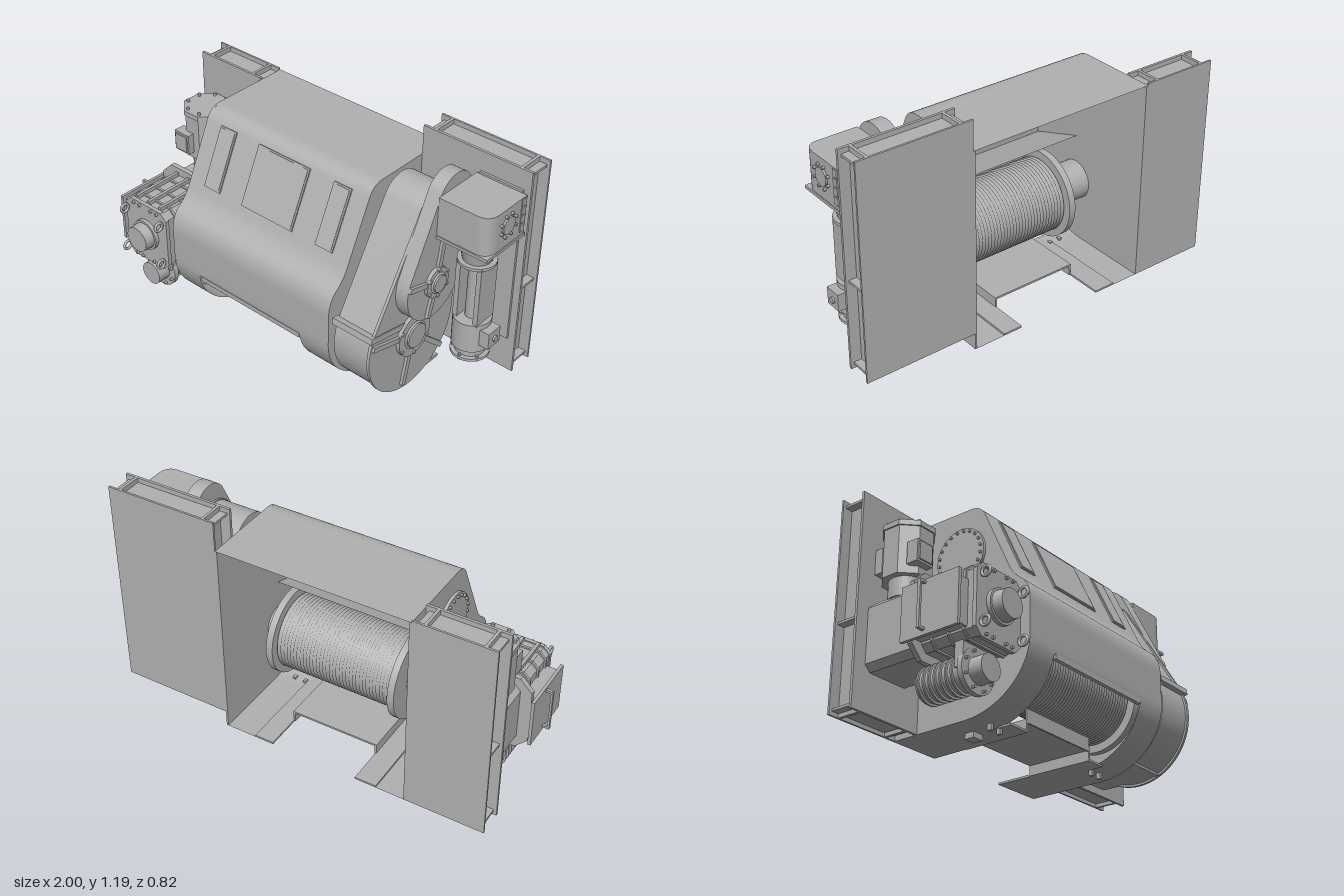
import * as THREE from 'three';
import { toCreasedNormals } from 'three/addons/utils/BufferGeometryUtils.js';

export function createModel() {
  const root = new THREE.Group();
  root.name = 'winch';
  const steel = new THREE.MeshStandardMaterial({ color: 0xb0b0b0, side: THREE.DoubleSide });
  steel.name = 'grey steel';

  // ---- helpers ----
  const add = (name, geo, x = 0, y = 0, z = 0) => {
    const m = new THREE.Mesh(geo, steel);
    m.name = name;
    m.position.set(x, y, z);
    root.add(m);
    return m;
  };
  // box given by its limits on each axis
  const box = (name, x0, x1, y0, y1, z0, z1) =>
    add(name, new THREE.BoxGeometry(x1 - x0, y1 - y0, z1 - z0), (x0 + x1) / 2, (y0 + y1) / 2, (z0 + z1) / 2);
  // turn geometry built along y so that it lies along another axis
  const along = (geo, axis) => axis === 'x' ? geo.rotateZ(-Math.PI / 2) : axis === 'z' ? geo.rotateX(Math.PI / 2) : geo;
  const cyl = (name, axis, len, r, x, y, z, rEnd = r, sides = 32) =>
    add(name, along(new THREE.CylinderGeometry(rEnd, r, len, sides), axis), x, y, z);
  const bolts = (name, axis, n, ring, r, len, x, y, z) => {
    for (let i = 0; i < n; i++) {
      const a = ((i + 0.5) / n) * Math.PI * 2, u = Math.cos(a) * ring, v = Math.sin(a) * ring;
      const p = axis === 'x' ? [x, y + v, z + u] : axis === 'y' ? [x + u, y, z + v] : [x + u, y + v, z];
      cyl(name, axis, len, r, ...p, r, 6);
    }
  };
  // extrude a (z, y) outline between two x positions
  const slab = (name, shape, x0, x1) => {
    const g = new THREE.ExtrudeGeometry(shape, { depth: x1 - x0, bevelEnabled: false, curveSegments: 28 });
    return add(name, toCreasedNormals(g.rotateY(-Math.PI / 2), 0.5), x1);
  };
  // outline wrapped around two circles
  const hull = (ax, ay, ar, bx, by, br) => {
    const a = Math.atan2(by - ay, bx - ax), b = Math.acos((ar - br) / Math.hypot(bx - ax, by - ay));
    return new THREE.Shape().absarc(ax, ay, ar, a + b, a - b + Math.PI * 2, false).absarc(bx, by, br, a - b, a + b, false);
  };
  // curved sheet across x following (z, y) points
  const sheet = (name, pts, x0, x1) => {
    const g = new THREE.PlaneGeometry(x1 - x0, 1, 1, pts.length - 1), p = g.attributes.position;
    for (let i = 0; i < p.count; i++) {
      const q = pts[i >> 1];
      p.setXYZ(i, i % 2 ? x1 : x0, q.y, q.x);
    }
    g.computeVertexNormals();
    return add(name, g);
  };

  // ---- housing ----
  const X0 = -0.55, X1 = 0.42, SZ = 0.05, SY = 0.36;
  const profile = new THREE.Shape();
  profile.moveTo(-0.41, 1.05).lineTo(0, 1.05).quadraticCurveTo(0.06, 1.05, 0.085, 1.0).lineTo(0.225, 0.7)
    .quadraticCurveTo(0.25, 0.645, 0.3, 0.61).quadraticCurveTo(0.345, 0.57, 0.345, 0.49).lineTo(0.345, 0.34)
    .bezierCurveTo(0.345, 0.18, 0.2, 0.04, 0, 0.035).lineTo(-0.41, 0.035);
  const pts = profile.getSpacedPoints(140);
  const cut = pts.findIndex(p => p.y < 0.31);
  sheet('housingShell', pts.slice(0, cut + 1), X0, X1);
  sheet('lowerGuard', pts.slice(cut), X0, -0.39);
  sheet('lowerGuard', pts.slice(cut), 0.25, X1);
  slab('housingEndPlate', profile, X0 - 0.005, X0 + 0.005);
  slab('housingEndPlate', profile, X1 - 0.005, X1 + 0.005);
  box('openingBar', -0.38, 0.25, 0.285, 0.31, 0.325, 0.345);
  box('floorStrip', -0.4, -0.29, 0.035, 0.045, -0.41, 0.12);
  box('floorStrip', 0.16, 0.26, 0.035, 0.045, -0.41, 0.12);
  box('ropeTray', -0.29, 0.16, 0.085, 0.095, -0.22, 0.12);
  box('trayLip', -0.29, 0.16, 0.08, 0.145, 0.11, 0.12);
  for (const x of [-0.29, 0.16]) box('trayWall', x - 0.005, x + 0.005, 0.035, 0.095, -0.22, 0.12);
  for (const x of [-0.45, -0.39, 0.27, 0.33]) box('footPeg', x - 0.008, x + 0.008, 0.01, 0.05, 0.04, 0.06);
  box('footBracket', -0.44, -0.38, 0.008, 0.035, -0.1, -0.05);
  sheet('innerBaffle', [new THREE.Vector2(0.34, 0.5), new THREE.Vector2(0.05, 0.6)], X0, X1);

  // raised hatches on the sloping front
  const tilt = -Math.atan2(0.14, 0.3);
  for (const [a, b] of [[-0.46, -0.36], [-0.22, 0.09], [0.23, 0.33]]) {
    const frame = add('hatchFrame', new THREE.BoxGeometry(b - a, 0.3, 0.012), (a + b) / 2, 0.862, 0.15);
    const panel = add('hatchPanel', new THREE.BoxGeometry(b - a - 0.016, 0.284, 0.008), (a + b) / 2, 0.864, 0.154);
    frame.rotation.x = panel.rotation.x = tilt;
  }
  // inspection cover on the end wall
  cyl('inspectionCover', 'x', 0.02, 0.135, X0 - 0.01, 0.82, -0.04);
  bolts('inspectionBolt', 'x', 20, 0.12, 0.007, 0.012, X0 - 0.024, 0.82, -0.04);

  // ---- drum with rope grooves ----
  const rope = [];
  for (let i = 0; i <= 70; i++) rope.push(new THREE.Vector2(i % 2 ? 0.19 : 0.178, -0.32 + i * 0.009));
  add('ropeDrum', along(new THREE.LatheGeometry(rope, 40), 'x'), 0, SY, SZ);
  for (const x of [-0.335, 0.325]) cyl('drumFlange', 'x', 0.035, 0.225, x, SY, SZ, 0.225, 48);
  cyl('drumShaft', 'x', 0.98, 0.1, -0.06, SY, SZ);

  // ---- mounting frames behind each side ----
  const mount = (x0, x1, y0, y1) => {
    box('mountBackPlate', x0, x1, y0, y1, -0.41, -0.4);
    box('mountFrontPlate', x0, x1, y0, y1, -0.285, -0.272);
    for (const x of [x0 + 0.06, x1 - 0.06]) box('mountWeb', x - 0.007, x + 0.007, y0, y1, -0.4, -0.285);
    for (const y of [y0 + 0.025, (y0 + y1) / 2 - 0.09, y1 - 0.03])
      box('mountRib', x0 + 0.015, x1 - 0.015, y - 0.006, y + 0.006, -0.4, -0.285);
  };
  mount(-0.95, -0.555, 0.035, 1.06);
  mount(0.425, 0.995, 0.12, 1.197);

  // ---- gear case ----
  cyl('caseCollar', 'x', 0.04, 0.16, 0.435, SY, SZ);
  slab('gearCase', hull(SZ, SY, 0.285, -0.1, 0.925, 0.13), 0.45, 0.65);
  slab('gearCaseRim', hull(SZ, SY, 0.295, -0.1, 0.925, 0.135), 0.645, 0.66);
  slab('upperGearCase', hull(-0.01, 0.65, 0.19, -0.12, 1.04, 0.115), 0.655, 0.725);
  box('caseSplitFlange', 0.44, 0.665, 0.445, 0.475, 0.1, 0.34).rotation.x = -0.2;
  box('caseFoot', 0.44, 0.66, 0.09, 0.105, -0.16, 0.17);
  // hubs with radial ribs
  const hub = (name, x, y, z, r, ribs) => {
    cyl(name + 'Plate', 'x', 0.02, r, x + 0.008, y, z);
    cyl(name + 'Cap', 'x', 0.035, r * 0.55, x + 0.015, y, z);
    add(name + 'Ring', new THREE.TorusGeometry(r * 0.6, 0.006, 8, 32).rotateY(Math.PI / 2), x + 0.02, y, z);
    bolts(name + 'Bolt', 'x', 6, r * 0.92, 0.009, 0.02, x + 0.015, y, z);
    for (const [a, len] of ribs) {
      const rib = add(name + 'Rib', new THREE.BoxGeometry(0.02, 0.025, len), x + 0.004,
        y + Math.sin(a) * len / 2, z + Math.cos(a) * len / 2);
      rib.rotation.x = -a;
    }
  };
  hub('mainHub', 0.66, SY, SZ, 0.11, [[0.27, 0.29], [-1.35, 0.27], [-2.4, 0.29]]);
  hub('upperHub', 0.725, 0.65, -0.01, 0.075, [[0.27, 0.19], [-1.3, 0.18], [1.75, 0.22]]);

  // ---- vertical drive beside the gear case ----
  const DX = 0.85, DZ = -0.135;
  box('driveBackPlate', 0.74, 0.96, 0.3, 1.1, -0.272, -0.26);
  // head with rounded front corner
  const head = new THREE.Shape();
  head.moveTo(0.725, 0.262).lineTo(0.725, 0.0).lineTo(0.92, 0.0).quadraticCurveTo(0.985, 0.0, 0.985, 0.07).lineTo(0.985, 0.262);
  const headGeo = new THREE.ExtrudeGeometry(head, { depth: 0.19, bevelEnabled: false, curveSegments: 10 });
  headGeo.rotateX(-Math.PI / 2);
  add('driveHead', toCreasedNormals(headGeo, 0.5), 0, 0.9, 0);
  box('headFlange', 0.72, 0.99, 0.885, 0.9, -0.265, 0.005);
  cyl('headCover', 'x', 0.012, 0.042, 0.988, 1.005, DZ);
  bolts('headBolt', 'x', 8, 0.055, 0.007, 0.014, 0.99, 1.005, DZ);
  for (let i = 0; i < 4; i++) box('headLug', 0.93, 0.99, 0.92 + i * 0.043, 0.955 + i * 0.043, -0.255, -0.225);
  cyl('driveCone', 'y', 0.115, 0.065, DX, 0.825, DZ, 0.092);
  bolts('coneBolt', 'y', 10, 0.105, 0.007, 0.02, DX, 0.88, DZ);
  cyl('coneFlange', 'y', 0.014, 0.088, DX, 0.765, DZ);
  for (const s of [-1, 1]) box('lanternPost', DX + s * 0.055 - 0.012, DX + s * 0.055 + 0.012, 0.45, 0.765, DZ - 0.06, DZ + 0.06);
  box('lanternBack', DX - 0.05, DX + 0.05, 0.45, 0.765, DZ - 0.06, DZ - 0.03);
  cyl('driveShaft', 'y', 0.32, 0.035, DX, 0.605, DZ);
  cyl('driveMotor', 'y', 0.15, 0.088, DX, 0.385, DZ);
  cyl('motorNeck', 'y', 0.05, 0.07, DX, 0.295, DZ);
  cyl('motorEndFlange', 'y', 0.014, 0.09, DX, 0.265, DZ);
  bolts('motorEndBolt', 'y', 6, 0.078, 0.007, 0.03, DX, 0.265, DZ);
  box('motorTerminalBox', 0.92, 0.975, 0.35, 0.435, -0.175, -0.09);
  cyl('terminalCap', 'x', 0.012, 0.015, 0.978, 0.39, DZ);
  box('motorBracket', 0.83, 0.87, 0.34, 0.37, -0.272, -0.2);

  // ---- gearbox on the other side ----
  const GX = -0.75, GY = 0.38;
  // octagonal prism lying along z
  const octagon = (name, hw, hh, c, z0, z1) => {
    const s = new THREE.Shape();
    [[hw, hh - c], [hw - c, hh], [c - hw, hh], [-hw, hh - c], [-hw, c - hh], [c - hw, -hh], [hw - c, -hh], [hw, c - hh]]
      .forEach(([x, y], i) => i ? s.lineTo(x, y) : s.moveTo(x, y));
    add(name, new THREE.ExtrudeGeometry(s, { depth: z1 - z0, bevelEnabled: false }), GX, GY, z0);
  };
  octagon('gearboxFlange', 0.19, 0.2, 0.06, 0.02, 0.045);
  octagon('gearboxBody', 0.135, 0.16, 0.03, -0.272, 0.32);
  octagon('gearboxCover', 0.14, 0.165, 0.035, 0.32, 0.34);
  for (const z of [0.1, 0.19, 0.27]) octagon('gearboxRib', 0.143, 0.168, 0.035, z, z + 0.012);
  for (const x of [-0.83, -0.75, -0.67]) box('gearboxTopRib', x - 0.008, x + 0.008, 0.53, 0.56, 0.05, 0.32);
  for (const sx of [-1, 1]) for (const sy of [-1, 1]) {
    add('liftingEye', new THREE.TorusGeometry(0.022, 0.007, 8, 20).rotateY(Math.PI / 2), GX + sx * 0.12, GY + sy * 0.11, 0.37);
    for (const d of [0.04, 0.08]) cyl('coverBolt', 'z', 0.015, 0.008, GX + sx * d, GY + sy * 0.15, 0.345, 0.008, 6);
  }
  cyl('bearingRing', 'z', 0.03, 0.08, GX, GY, 0.345);
  cyl('bearingCap', 'z', 0.06, 0.07, GX, GY, 0.38, 0.066);
  cyl('outputCoupling', 'x', 0.08, 0.14, -0.585, SY, SZ);
  for (const z of [-0.2, -0.12]) box('sideLug', -0.62, -0.555, 0.4, 0.52, z - 0.01, z + 0.01);

  // lower finned pump
  const PX = -0.77, PY = 0.115;
  cyl('pumpFlange', 'z', 0.025, 0.1, PX, PY, 0.24);
  box('pumpLink', PX - 0.09, PX + 0.09, PY, 0.25, 0.205, 0.25);
  cyl('pumpBody', 'z', 0.26, 0.075, PX, PY, 0.11);
  for (let i = 0; i < 7; i++) cyl('pumpFin', 'z', 0.008, 0.085, PX, PY, 0 + i * 0.03);
  cyl('pumpCap', 'z', 0.07, 0.06, PX, PY, 0.285);
  bolts('pumpBolt', 'z', 8, 0.085, 0.007, 0.02, PX, PY, 0.258);

  // control cabinet with handle
  box('cabinet', -0.95, -0.88, 0.26, 0.47, 0.02, 0.29);
  box('cabinetDoor', -0.965, -0.95, 0.24, 0.49, 0.0, 0.31);
  box('doorHandle', -1.0, -0.99, 0.26, 0.48, 0.12, 0.135);
  for (const y of [0.265, 0.475]) box('handleStud', -0.995, -0.96, y - 0.006, y + 0.006, 0.12, 0.135);

  // upright motor above the gearbox
  const MX = -0.795, MZ = -0.14;
  cyl('uprightMotorNeck', 'y', 0.1, 0.08, MX, 0.58, MZ);
  const upright = cyl('uprightMotor', 'y', 0.23, 0.115, MX, 0.735, MZ, 0.115, 8);
  const cap = cyl('uprightMotorCap', 'y', 0.025, 0.122, MX, 0.862, MZ, 0.122, 8);
  for (const m of [upright, cap]) {
    m.geometry = toCreasedNormals(m.geometry.toNonIndexed(), 0.3);
    m.rotation.y = Math.PI / 8;
  }
  bolts('capBolt', 'y', 8, 0.1, 0.008, 0.016, MX, 0.88, MZ);
  box('uprightTerminalBox', -0.885, -0.79, 0.655, 0.76, -0.06, 0.0);
  box('terminalLid', -0.875, -0.8, 0.665, 0.75, 0.0, 0.008);
  box('uprightMotorBracket', -0.86, -0.73, 0.68, 0.8, -0.272, -0.23);
  return root;
}
